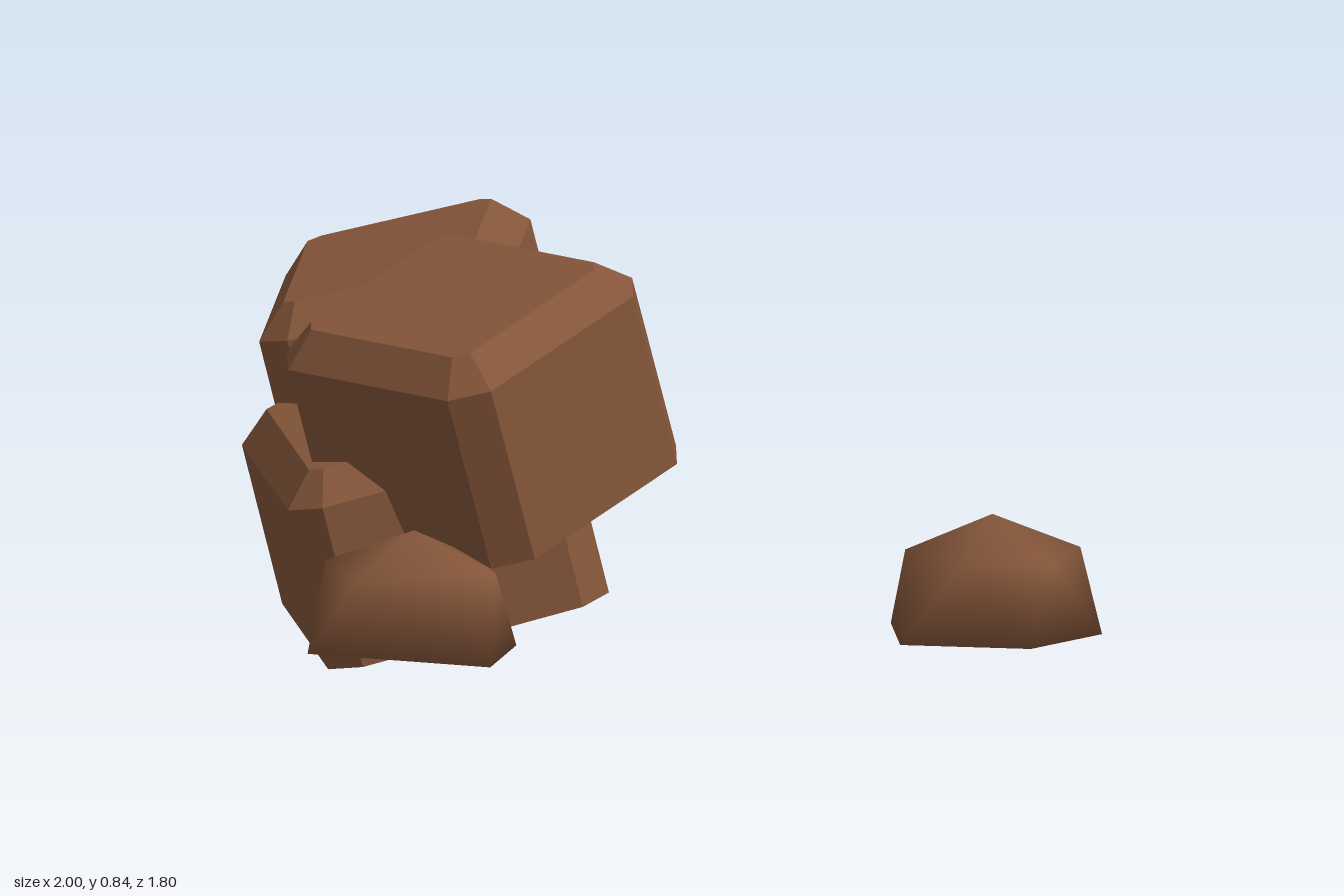
import * as THREE from 'three';

const earth = new THREE.MeshStandardMaterial({ color: 0x85563a });
earth.name = 'brown rock';

// Octagon: rectangle with cut corners
function octagon(w, l, cut, y) {
  const a = w / 2, b = l / 2;
  return [
    [a, b - cut], [a - cut, b], [cut - a, b], [-a, b - cut],
    [-a, cut - b], [cut - a, -b], [a - cut, -b], [a, cut - b],
  ].map(([x, z]) => [x, y, z]);
}

// Boulder slab: flat underside, chamfered upright edges and top rim
function slab(name, [w, h, l], position, pitch, yaw, roll) {
  const c = 0.065, n = 8, index = [];
  const points = [
    ...octagon(w, l, c, 0),
    ...octagon(w, l, c, h - c),
    ...octagon(w - 2 * c, l - 2 * c, c * 0.414, h),
  ];
  for (let ring = 0; ring < 2; ring++) {
    for (let i = 0; i < n; i++) {
      const a = ring * n + i, b = ring * n + (i + 1) % n;
      index.push(a, b + n, b, a, a + n, b + n);
    }
  }
  for (let i = 1; i < n - 1; i++) {
    index.push(0, i, i + 1);
    index.push(2 * n, 2 * n + i + 1, 2 * n + i);
  }
  const indexed = new THREE.BufferGeometry();
  indexed.setAttribute('position', new THREE.Float32BufferAttribute(points.flat(), 3));
  indexed.setIndex(index);
  const geometry = indexed.toNonIndexed();
  geometry.computeVertexNormals();
  const mesh = new THREE.Mesh(geometry, earth);
  mesh.name = name;
  mesh.position.set(...position);
  const rad = THREE.MathUtils.degToRad;
  mesh.rotation.set(rad(pitch), rad(yaw), rad(roll), 'YXZ');
  return mesh;
}

// Smooth pebble: apex, upper ring, base ring and flat underside
function pebble(name, [x, z], upper, base) {
  const n = upper.length, low = 0.08, mid = 0.25, high = 0.33, index = [];
  const points = [
    ...upper.map(([px, pz]) => [px, mid, pz]),
    ...base.map(([px, pz]) => [px, low, pz]),
    [0, high, 0], [0, low, 0],
  ];
  for (let i = 0; i < n; i++) {
    const j = (i + 1) % n;
    index.push(2 * n, j, i);
    index.push(i, j, n + i);
    index.push(n + i, j, n + j);
    index.push(2 * n + 1, n + i, n + j);
  }
  const geometry = new THREE.BufferGeometry();
  geometry.setAttribute('position', new THREE.Float32BufferAttribute(points.flat(), 3));
  geometry.setIndex(index);
  geometry.computeVertexNormals();
  const mesh = new THREE.Mesh(geometry, earth);
  mesh.name = name;
  mesh.position.set(x, 0, z);
  return mesh;
}

export function createModel() {
  const group = new THREE.Group();
  group.name = 'rockPile';
  group.add(
    // Three stacked slabs
    slab('baseRock', [0.6, 0.41, 0.83], [-0.412, 0.072, 0.148], 0, 23, 14),
    slab('backRock', [0.52, 0.35, 0.83], [-0.615, 0.332, -0.462], 0, 10.8, 14),
    slab('topRock', [0.595, 0.455, 0.565], [-0.234, 0.342, 0.345], 19, -30, 0),
    // Two loose pebbles
    pebble('frontPebble', [-0.32, 0.73],
      [[0.18, 0.02], [-0.08, 0.168], [-0.2, -0.04], [-0.04, -0.16], [0.11, -0.13]],
      [[0.2, 0.14], [-0.2, 0.1], [-0.17, -0.13], [0.04, -0.16], [0.19, -0.1]]),
    pebble('sidePebble', [0.78, 0.25],
      [[0.16, -0.1], [0.15, 0.08], [-0.02, 0.16], [-0.18, 0.02], [-0.06, -0.175]],
      [[0.22, -0.05], [0.12, 0.14], [-0.15, 0.17], [-0.23, -0.05], [0.01, -0.175]]),
  );
  return group;
}
